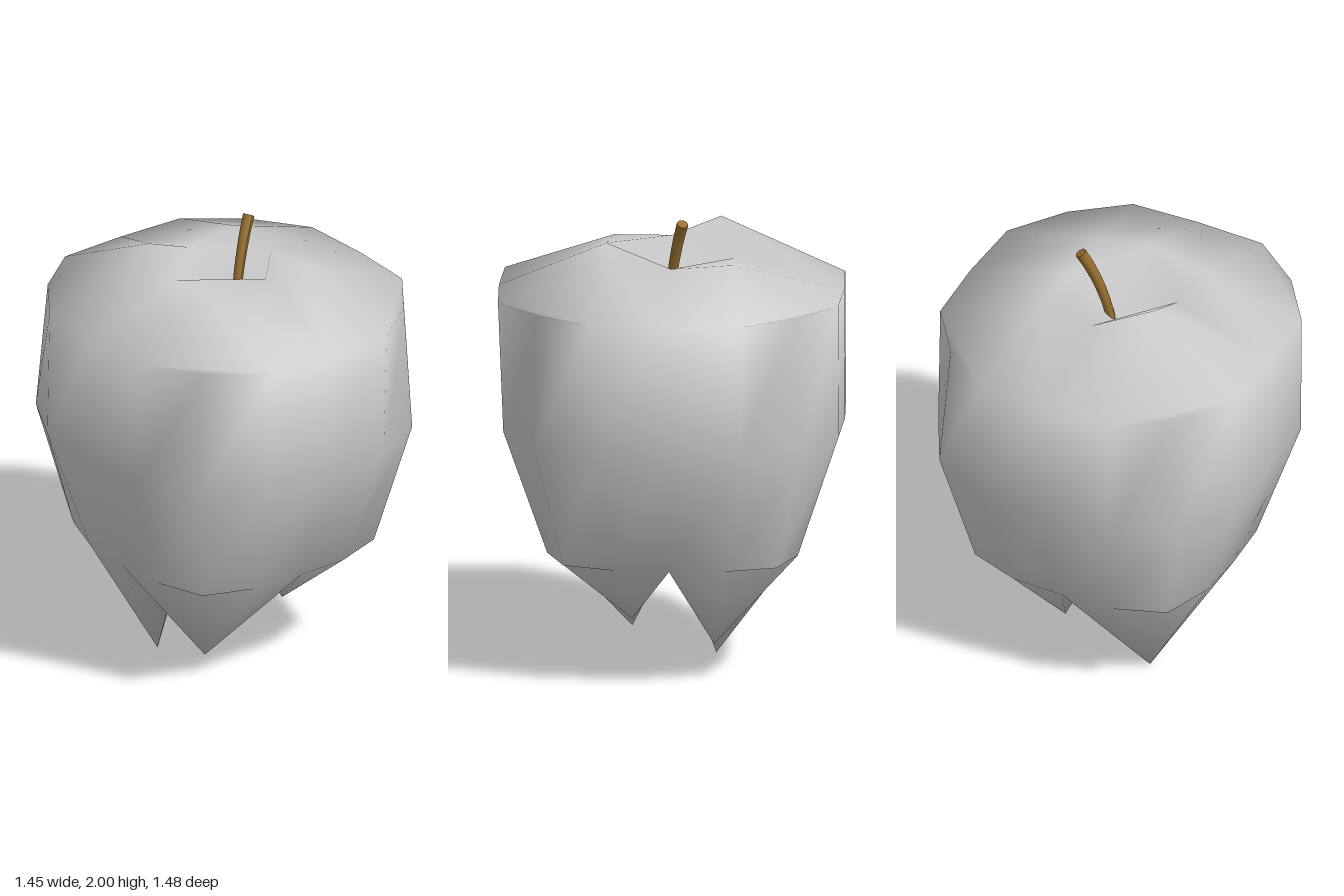
import * as THREE from 'three';

// Each level is a 5 x 5 grid outline: 16 border points form a rounded square ring.
const border = [];
for (let n = 0; n < 4; n++) border.push([n, 0]);
for (let n = 0; n < 4; n++) border.push([4, n]);
for (let n = 0; n < 4; n++) border.push([4 - n, 4]);
for (let n = 0; n < 4; n++) border.push([0, 4 - n]);

// Rounded square outline, by distance of a border point from the grid centre
const outline = { '2,0': [1, 0], '2,1': [0.98, 0.43], '2,2': [0.79, 0.79], '1,2': [0.43, 0.985], '0,2': [0, 1] };

// Height, half width, half depth, z offset and corner fullness of each ring, bottom to top
const rings = [
  [0.55, 0.55, 0.545, -0.025, 1.06],
  [1.1, 0.725, 0.73, -0.023, 1],
  [1.67, 0.72, 0.74, -0.01, 0.945],
];

// Inner 3 x 3 points of the caps, rows from back to front
const crown = [
  [-0.26, 1.92, -0.21], [0, 1.80, -0.28], [0.25, 1.83, -0.28],
  [-0.27, 1.83, 0], [0.02, 1.62, 0], [0.25, 1.81, -0.02],
  [-0.27, 1.83, 0.25], [0, 1.86, 0.27], [0.25, 1.83, 0.24],
];
const lobes = [
  [-0.23, 0, -0.19], [0, 0.5, -0.24], [0.17, 0.14, -0.2],
  [-0.23, 0.5, -0.02], [0, 0.54, -0.02], [0.21, 0.5, -0.02],
  [-0.25, 0.11, 0.17], [0, 0.5, 0.22], [0.18, 0.25, 0.15],
];

function createFruitGeometry() {
  const positions = [];
  const index = [];
  for (const [y, rx, rz, cz, fullness] of rings) {
    for (const [i, j] of border) {
      const di = Math.abs(i - 2), dj = Math.abs(j - 2);
      const [ox, oz] = outline[`${di},${dj}`];
      const f = di === 2 && dj === 2 ? fullness : 1;
      positions.push(Math.sign(i - 2) * ox * rx * f, y, Math.sign(j - 2) * oz * rz * f + cz);
    }
  }

  // Walls between the rings
  for (let r = 0; r < rings.length - 1; r++) {
    for (let k = 0; k < 16; k++) {
      const a = r * 16 + k, b = r * 16 + (k + 1) % 16;
      index.push(a, a + 16, b, b, a + 16, b + 16);
    }
  }

  // A cap joins a ring to its nine inner points, split across the radial diagonals
  function addCap(ring, inner, up) {
    const start = positions.length / 3;
    inner.forEach((p) => positions.push(...p));
    const at = (i, j) => {
      const k = border.findIndex(([bi, bj]) => bi === i && bj === j);
      return k >= 0 ? ring * 16 + k : start + (j - 1) * 3 + i - 1;
    };
    const face = (a, b, c) => (up ? index.push(a, b, c) : index.push(a, c, b));
    for (let i = 0; i < 4; i++) {
      for (let j = 0; j < 4; j++) {
        const a = at(i, j), b = at(i, j + 1), c = at(i + 1, j + 1), d = at(i + 1, j);
        if ((i < 2) === (j < 2)) {
          face(a, b, d);
          face(b, c, d);
        } else {
          face(a, b, c);
          face(a, c, d);
        }
      }
    }
  }
  addCap(0, lobes, false);
  addCap(2, crown, true);

  const geometry = new THREE.BufferGeometry();
  geometry.setAttribute('position', new THREE.Float32BufferAttribute(positions, 3));
  geometry.setIndex(index);
  geometry.computeVertexNormals();
  return geometry;
}

// Curved stem: a closed cylinder bent along a curve, slightly thicker at the tip
function createStemGeometry() {
  const curve = new THREE.QuadraticBezierCurve3(
    new THREE.Vector3(0.045, 1.6, 0.0),
    new THREE.Vector3(0.075, 1.82, -0.02),
    new THREE.Vector3(0.165, 1.988, -0.065),
  );
  const geometry = new THREE.CylinderGeometry(0.025, 0.019, 1, 8, 6);
  const pos = geometry.attributes.position;
  const up = new THREE.Vector3(0, 1, 0);
  const turn = new THREE.Quaternion();
  const p = new THREE.Vector3();
  for (let n = 0; n < pos.count; n++) {
    const t = THREE.MathUtils.clamp(pos.getY(n) + 0.5, 0, 1);
    turn.setFromUnitVectors(up, curve.getTangent(t));
    p.set(pos.getX(n), 0, pos.getZ(n)).applyQuaternion(turn).add(curve.getPoint(t));
    pos.setXYZ(n, p.x, p.y, p.z);
  }
  geometry.computeVertexNormals();
  return geometry;
}

export function createModel() {
  const group = new THREE.Group();
  group.name = 'apple';

  const fruit = new THREE.Mesh(createFruitGeometry(), new THREE.MeshStandardMaterial({ color: 0xcccccc }));
  fruit.name = 'fruit';

  const stem = new THREE.Mesh(createStemGeometry(), new THREE.MeshStandardMaterial({ color: 0x966e2e }));
  stem.name = 'stem';

  group.add(fruit, stem);
  return group;
}
